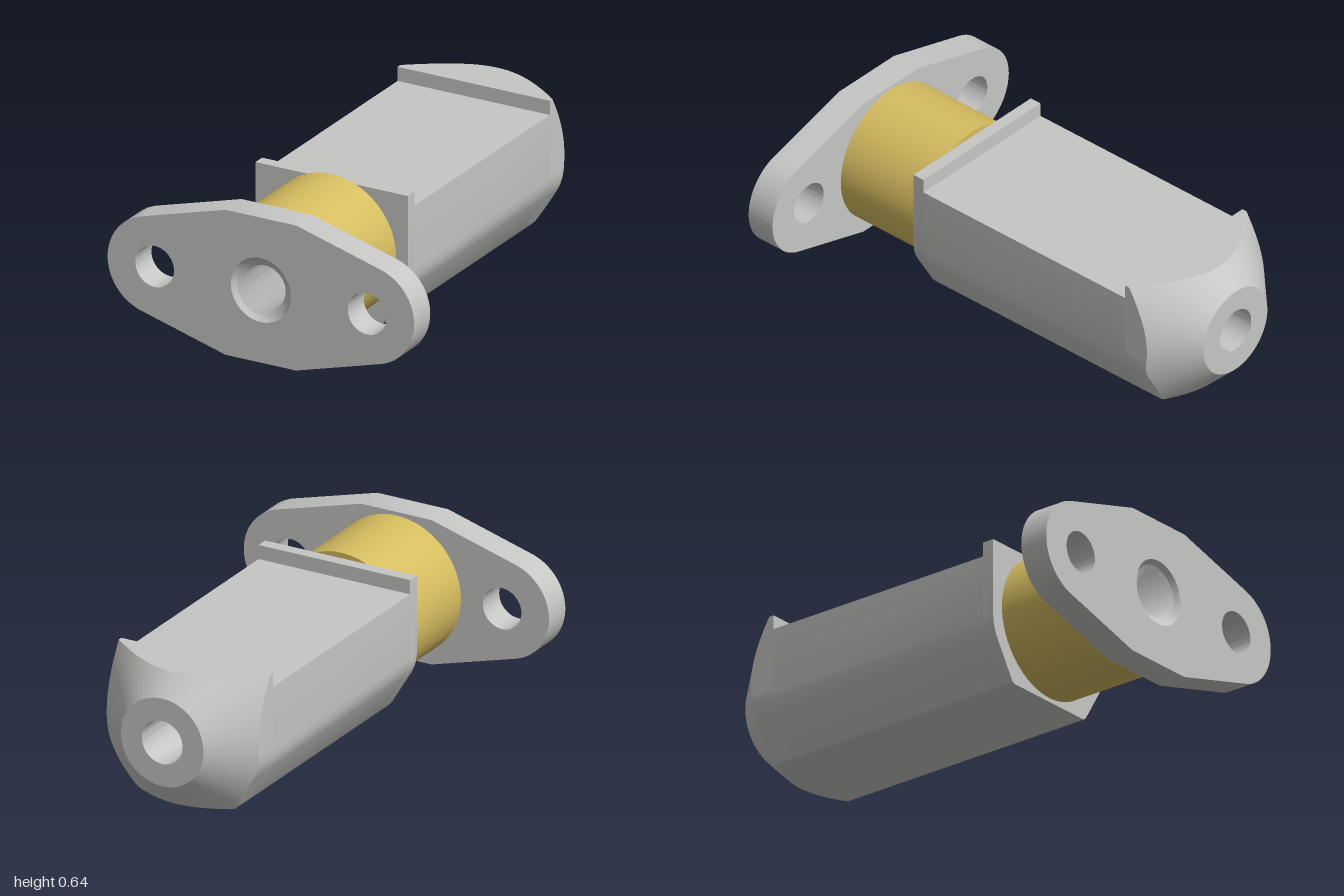
import * as THREE from 'three';
import { toCreasedNormals } from 'three/addons/utils/BufferGeometryUtils.js';

const CY = 0.318;      // height of the long axis
const BORE = 0.095;    // minor radius of the bores
const NOSE = 0.193;    // radius of the flat ring on the nose

const steel = new THREE.MeshStandardMaterial({ color: 0xc6c6c4 });
steel.name = 'steel';
const brass = new THREE.MeshStandardMaterial({ color: 0xd6bd60 });
brass.name = 'brass';

// Corners of the body section, counter-clockwise, measured from the axis
function sectionPoints(top) {
  const half = [
    [0.215, 0], [0.228, 0.004], [0.238, 0.016], [0.328, 0.165],
    [0.341, 0.19], [0.351, 0.22], [0.355, 0.255], [0.355, top],
  ].map(([x, y]) => new THREE.Vector2(x, y - CY));
  const mirrored = half.map((p) => new THREE.Vector2(-p.x, p.y)).reverse();
  return [...half, ...mirrored];
}

function hole(x, radius) {
  return new THREE.Path().absarc(x, 0, radius, 0, Math.PI * 2, true);
}

// Extrude a shape between two z positions
function slab(shape, z0, z1) {
  const geo = new THREE.ExtrudeGeometry(shape, { depth: z1 - z0, bevelEnabled: false, curveSegments: 40 });
  geo.translate(0, 0, z0);
  return toCreasedNormals(geo, 0.45);
}

// Revolve [radius, z] points about the long axis
function turned(profile, crease = 0.45) {
  const geo = new THREE.LatheGeometry(profile.map(([r, z]) => new THREE.Vector2(r, z)), 64);
  geo.rotateX(Math.PI / 2);
  return toCreasedNormals(geo, crease);
}

function bodySlab(top, z0, z1) {
  const shape = new THREE.Shape(sectionPoints(top));
  shape.holes.push(hole(0, BORE));
  return slab(shape, z0, z1);
}

// Body section whose far end is cut by a 45 degree cone
function noseGeometry(top, zFront) {
  const corners = sectionPoints(top);
  const outline = [];
  corners.forEach((p, i) => {
    const q = corners[(i + 1) % corners.length];
    const n = Math.max(1, Math.round(p.distanceTo(q) / 0.025));
    for (let k = 0; k < n; k++) outline.push(p.clone().lerp(q, k / n));
  });
  const pos = [];
  const index = [];
  const loops = 5;
  for (const p of outline) {
    const r = p.length();
    const profile = [[BORE, -1], [NOSE, -1], [r, -1 + r - NOSE], [r, zFront], [BORE, zFront]];
    for (const [radius, z] of profile) pos.push(p.x * radius / r, p.y * radius / r, z);
  }
  for (let i = 0; i < outline.length; i++) {
    const a = i * loops;
    const b = ((i + 1) % outline.length) * loops;
    for (let j = 0; j < loops - 1; j++) {
      index.push(a + j, b + j, b + j + 1, a + j, b + j + 1, a + j + 1);
    }
  }
  const geo = new THREE.BufferGeometry();
  geo.setAttribute('position', new THREE.Float32BufferAttribute(pos, 3));
  geo.setIndex(index);
  return toCreasedNormals(geo, 0.35);
}

// Flange plate: two round ends joined tangentially to a flat top and bottom
function flangeGeometry() {
  const ex = 0.5, er = 0.2145, fx = 0.165, fy = 0.3175;
  const t = Math.atan2(fy, fx - ex) - Math.acos(er / Math.hypot(fx - ex, fy));
  const shape = new THREE.Shape();
  shape.moveTo(-fx, -fy);
  shape.lineTo(fx, -fy);
  shape.absarc(ex, 0, er, -t, t, false);
  shape.lineTo(fx, fy);
  shape.lineTo(-fx, fy);
  shape.absarc(-ex, 0, er, Math.PI - t, Math.PI + t, false);
  shape.closePath();
  shape.holes.push(hole(0, 0.14), hole(0.495, 0.09), hole(-0.495, 0.09));
  return slab(shape, 0.87, 1);
}

// Threaded blind hole with a countersunk mouth and a drill point
function threadGeometry() {
  const profile = [[0.14, 1], [0.122, 0.98]];
  const pitch = 0.032;
  for (let i = 0; i < 12; i++) {
    const z = 0.98 - i * pitch;
    profile.push([BORE, z - pitch / 2], [0.122, z - pitch]);
  }
  profile.push([BORE, 0.58], [BORE, 0.54], [0, 0.49]);
  return turned(profile, 0.3);
}

export function createModel() {
  const group = new THREE.Group();
  const add = (name, geo, mat) => {
    const mesh = new THREE.Mesh(geo, mat);
    mesh.name = name;
    mesh.position.y = CY;
    group.add(mesh);
  };

  // Mounting end
  add('flange', flangeGeometry(), steel);
  add('threadedHole', threadGeometry(), steel);
  add('collar', turned([[0.14, 0.43], [0.302, 0.43], [0.302, 0.87]]), brass);

  // Body with a raised lip at each end of the flat
  add('frontLip', bodySlab(0.597, 0.375, 0.428), steel);
  add('body', bodySlab(0.535, -0.72, 0.375), steel);
  add('nose', noseGeometry(0.597, -0.72), steel);
  add('noseBore', turned([[0, -0.5], [BORE, -0.55], [BORE, -1]]), steel);
  return group;
}
